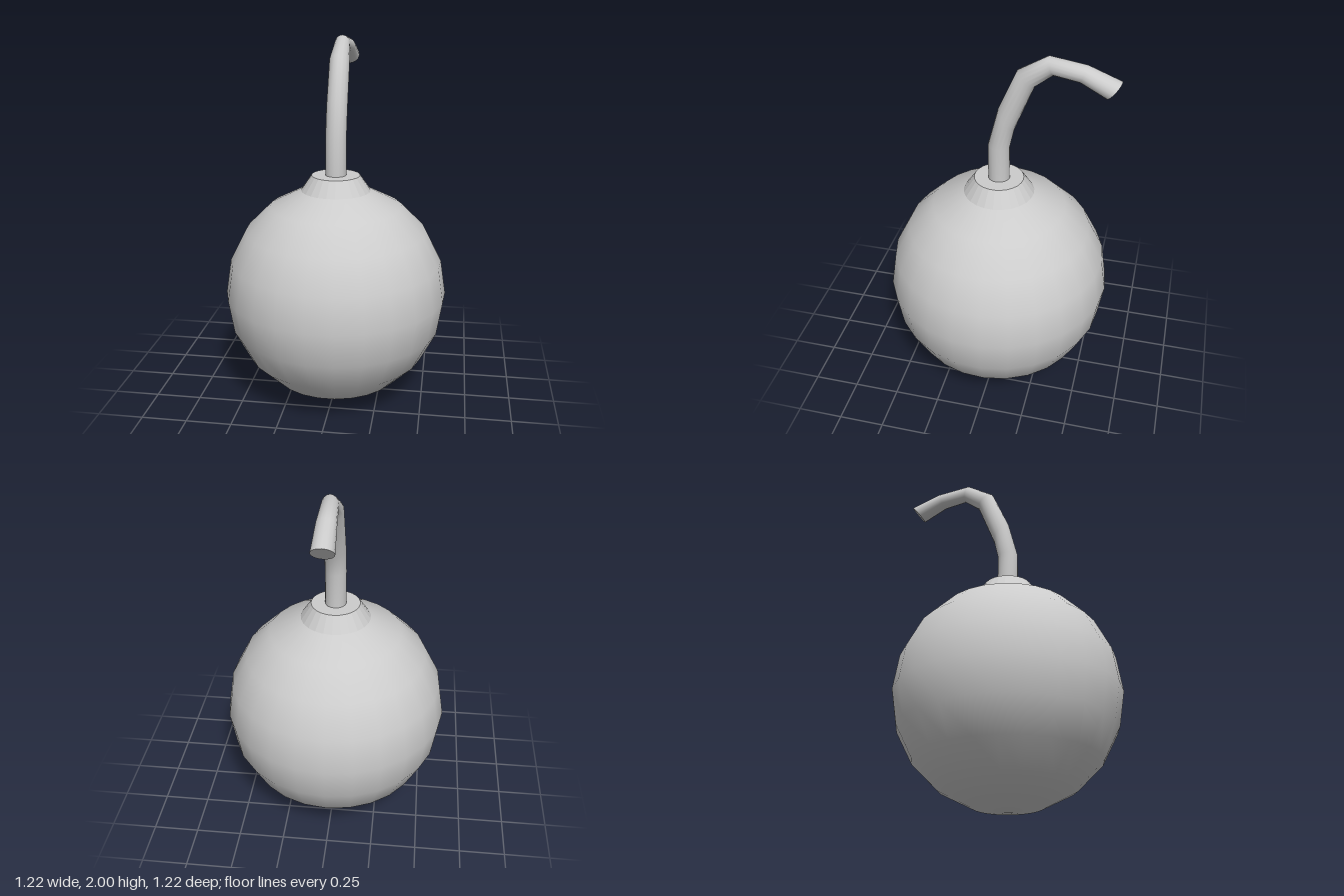
import * as THREE from 'three';

const SIDES = 25;
const R = 0.613;

export function createModel() {
  const model = new THREE.Group();
  const smooth = new THREE.MeshStandardMaterial({ color: 0xcccccc, side: THREE.DoubleSide });
  const faceted = new THREE.MeshStandardMaterial({ color: 0xcccccc, flatShading: true, side: THREE.DoubleSide });
  const add = (name, geometry, material) => {
    const mesh = new THREE.Mesh(geometry, material);
    mesh.name = name;
    model.add(mesh);
  };
  const spin = (points) => new THREE.LatheGeometry(points, SIDES, Math.PI);

  // Round body, ten bands from the bottom pole; the top band is left to the collar
  const profile = [];
  for (let i = 0; i < 10; i++) {
    const a = (i / 10) * Math.PI;
    profile.push(new THREE.Vector2(R * Math.sin(a), R - R * Math.cos(a)));
  }
  add('body', spin(profile), smooth);

  // Faceted collar with a flat top
  const collar = [profile[9], new THREE.Vector2(0.132, 1.28), new THREE.Vector2(0, 1.28)];
  add('collar', spin(collar), faceted);

  // Bent fuse: each ring is [outer z, outer y, inner z, inner y, half width in x]
  const rings = [
    [0.058, 1.27, -0.058, 1.27, 0.057],
    [0.058, 1.48, -0.056, 1.47, 0.057],
    [0.005, 1.69, -0.08, 1.58, 0.057],
    [-0.09, 1.91, -0.18, 1.835, 0.055],
    [-0.24, 2.0, -0.27, 1.905, 0.042],
    [-0.43, 1.97, -0.4, 1.885, 0.05],
    [-0.6, 1.903, -0.53, 1.815, 0.057],
  ];
  const n = 16;
  const ringPoint = ([oz, oy, iz, iy, w], a) => {
    const t = (1 + Math.cos(a)) / 2;
    return [w * Math.sin(a), iy + (oy - iy) * t, iz + (oz - iz) * t];
  };
  const positions = [];
  const index = [];
  rings.forEach((ring, r) => {
    for (let i = 0; i < n; i++) {
      positions.push(...ringPoint(ring, (i / n) * Math.PI * 2));
      if (r === 0) continue;
      const j = (i + 1) % n;
      const a = (r - 1) * n + i, b = (r - 1) * n + j, c = r * n + i, d = r * n + j;
      index.push(a, b, d, a, d, c);
    }
  });
  const fuse = new THREE.BufferGeometry();
  fuse.setAttribute('position', new THREE.Float32BufferAttribute(positions, 3));
  fuse.setIndex(index);
  fuse.computeVertexNormals();
  add('fuse', fuse, smooth);

  // Slanted flat end of the fuse
  const end = rings[rings.length - 1];
  const capPoints = [];
  for (let i = 1; i < n - 1; i++) {
    for (const k of [0, i, i + 1]) capPoints.push(...ringPoint(end, (k / n) * Math.PI * 2));
  }
  const cap = new THREE.BufferGeometry();
  cap.setAttribute('position', new THREE.Float32BufferAttribute(capPoints, 3));
  cap.computeVertexNormals();
  add('fuseEnd', cap, smooth);

  return model;
}
